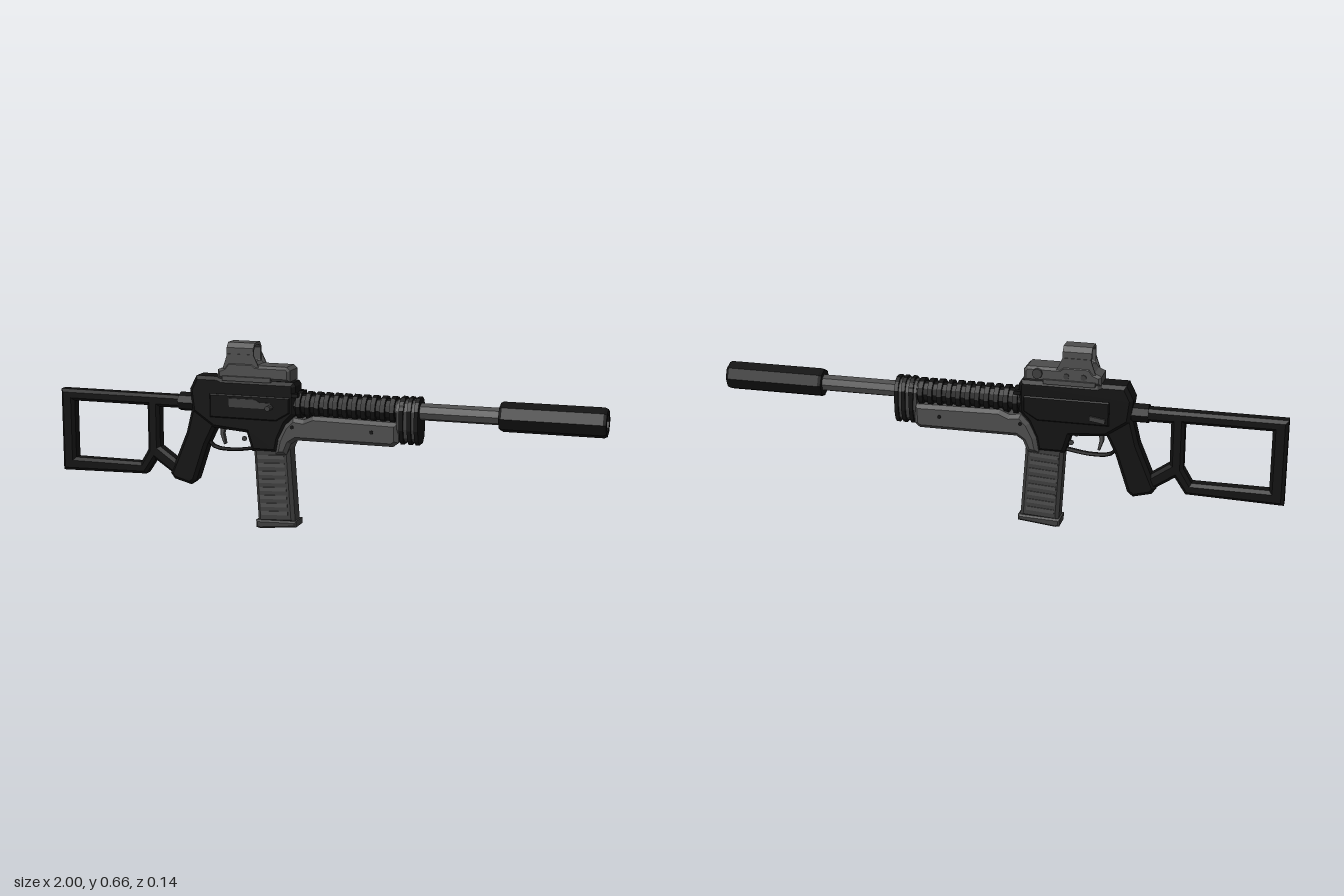
import * as THREE from 'three';

const mat = (color, extra = {}) => new THREE.MeshStandardMaterial({ color, flatShading: true, ...extra });

export function createModel() {
  const root = new THREE.Group();
  const body = new THREE.Group();
  body.name = 'body';
  body.position.z = -0.0125;
  root.add(body);

  const black = mat(0x111111), grey = mat(0x4c4c4c), dark = mat(0x3c3c3c);
  const glass = mat(0xaaaaaa, { side: THREE.DoubleSide });

  const add = (name, geo, material, x = 0, y = 0, z = 0) => {
    const m = new THREE.Mesh(geo, material);
    m.name = name;
    m.position.set(x, y, z);
    body.add(m);
    return m;
  };
  const toShape = (pts, holes = []) => {
    const s = new THREE.Shape(pts.map(p => new THREE.Vector2(...p)));
    holes.forEach(h => s.holes.push(new THREE.Path(h.map(p => new THREE.Vector2(...p)))));
    return s;
  };
  const extrude = (shape, depth, bevel) => new THREE.ExtrudeGeometry(shape, {
    depth: depth - 2 * bevel, bevelEnabled: bevel > 0, bevelThickness: bevel,
    bevelSize: bevel, bevelOffset: -bevel, bevelSegments: 1, curveSegments: 6,
  }).translate(0, 0, bevel - depth / 2);
  // side outline, centred across the width
  const plate = (name, pts, half, bevel, material, holes) =>
    add(name, extrude(toShape(pts, holes), half * 2, bevel), material);
  // cross-section (z, y) swept along x
  const section = (name, pts, x0, x1, material, bevel = 0, holes) =>
    add(name, extrude(toShape(pts, holes), x1 - x0, bevel).rotateY(Math.PI / 2), material, (x0 + x1) / 2);
  const box = (name, w, h, d, x, y, z, material) => add(name, new THREE.BoxGeometry(w, h, d), material, x, y, z);
  const rod = (name, r, len, x, y, z, material, axis = 'x', sides = 8) => {
    const g = new THREE.CylinderGeometry(r, r, len, sides);
    axis === 'x' ? g.rotateZ(-Math.PI / 2) : g.rotateX(Math.PI / 2);
    return add(name, g, material, x, y, z);
  };
  const mirrored = pts => [...pts, ...pts.slice().reverse().map(([z, y]) => [-z, y])];

  // barrel and hollow muzzle tube
  rod('barrel', 0.03, 0.76, 0.53, 0.452, 0, grey);
  const tube = [[0.028, 0.64], [0.047, 0.64], [0.052, 0.65], [0.052, 0.99], [0.047, 1],
    [0.03, 1], [0.03, 0.64]].map(p => new THREE.Vector2(...p));
  add('muzzleTube', new THREE.LatheGeometry(tube, 8).rotateZ(-Math.PI / 2), black, 0, 0.452);

  // ribbed upper handguard
  rod('upperHandguard', 0.039, 0.42, 0.12, 0.452, 0, black, 'x', 12);
  for (let i = 0; i < 12; i++) rod('handguardRib', 0.05, 0.017, -0.07 + i * 0.034, 0.451, 0, black, 'x', 12);

  // tall end bands
  const band = mirrored([[0.022, 0.338], [0.04, 0.355], [0.05, 0.39], [0.05, 0.46], [0.036, 0.488], [0.017, 0.501]]);
  section('handguardEnd', band.map(([z, y]) => [z * 0.86, 0.42 + (y - 0.42) * 0.9]), 0.285, 0.355, dark);
  for (const x of [0.297, 0.325, 0.35]) section('endBand', band, x, x + 0.014, black);

  // lower handguard sweeping down to the magazine
  plate('lowerHandguard', [[-0.155, 0.275], [-0.115, 0.275], [-0.098, 0.315], [-0.075, 0.33], [0.275, 0.33],
    [0.293, 0.345], [0.293, 0.415], [-0.015, 0.42], [-0.05, 0.405], [-0.09, 0.41], [-0.12, 0.38], [-0.145, 0.33]],
    0.051, 0.013, grey);
  for (const s of [-1, 1]) {
    for (const x of [-0.09, 0.2]) rod('handguardPin', 0.007, 0.004, x, 0.378, s * 0.051, black, 'z');
  }

  // receiver
  plate('receiver', [[-0.455, 0.54], [-0.37, 0.54], [-0.355, 0.533], [-0.09, 0.533], [-0.082, 0.52], [-0.082, 0.42],
    [-0.115, 0.385], [-0.14, 0.33], [-0.15, 0.28], [-0.245, 0.28], [-0.265, 0.345], [-0.39, 0.355],
    [-0.47, 0.41], [-0.48, 0.49]], 0.044, 0.012, black);
  for (const s of [-1, 1]) {
    plate('sidePanel', [[-0.4, 0.48], [-0.1, 0.48], [-0.1, 0.425], [-0.15, 0.395], [-0.4, 0.395]],
      0.005, 0.004, black).position.z = s * 0.044;
    box('frontSightLug', 0.024, 0.013, 0.02, -0.08, 0.49, s * 0.042, black);
    rod('receiverPin', 0.009, 0.006, -0.27, 0.325, s * 0.044, dark, 'z');
  }
  plate('ejectionPort', [[-0.325, 0.437], [-0.2, 0.437], [-0.17, 0.442], [-0.17, 0.458], [-0.21, 0.458],
    [-0.225, 0.468], [-0.325, 0.468]], 0.003, 0, dark).position.z = 0.049;
  rod('chargingHandle', 0.01, 0.04, -0.17, 0.444, 0.062, dark, 'z');
  box('selectorLever', 0.055, 0.016, 0.012, -0.36, 0.417, -0.051, dark).rotation.z = 0.15;

  // pistol grip
  plate('grip', [[-0.475, 0.43], [-0.5, 0.33], [-0.565, 0.175], [-0.55, 0.155], [-0.485, 0.138], [-0.465, 0.155],
    [-0.42, 0.29], [-0.385, 0.36], [-0.39, 0.43]], 0.034, 0.012, black);

  // trigger and guard
  const guard = new THREE.CatmullRomCurve3([[-0.43, 0.31], [-0.4, 0.28], [-0.33, 0.273], [-0.24, 0.285]]
    .map(([x, y]) => new THREE.Vector3(x, y, 0)));
  add('triggerGuard', new THREE.TubeGeometry(guard, 10, 0.006, 6).scale(1, 1, 2.5), black);
  plate('trigger', [[-0.375, 0.36], [-0.355, 0.36], [-0.362, 0.33], [-0.355, 0.293], [-0.363, 0.29], [-0.376, 0.325]],
    0.009, 0.002, grey);

  // skeleton stock
  plate('stock', [[-1, 0.155], [-0.665, 0.163], [-0.627, 0.22], [-0.545, 0.165], [-0.525, 0.21], [-0.608, 0.268],
    [-0.608, 0.415], [-0.46, 0.415], [-0.46, 0.46], [-1, 0.46]], 0.027, 0.011, black,
    [[[-0.948, 0.205], [-0.948, 0.418], [-0.655, 0.418], [-0.655, 0.255], [-0.685, 0.205]]]);
  rod('stockHinge', 0.034, 0.08, -0.49, 0.438, 0, black);

  // magazine with raised side ribs
  plate('magazine', [[-0.245, 0.36], [-0.225, 0.02], [-0.087, 0.028], [-0.108, 0.33], [-0.13, 0.36]],
    0.036, 0.012, dark);
  plate('magazineBase', [[-0.232, 0.03], [-0.23, 0.003], [-0.215, 0], [-0.08, 0.014], [-0.081, 0.035]],
    0.04, 0.006, dark);
  for (let i = 0; i < 8; i++) {
    const y = 0.06 + i * 0.029;
    const x = -0.157 - y * 0.065;
    for (const s of [-1, 1]) box('magazineRib', 0.1, 0.014, 0.006, x, y, s * 0.036, grey).rotation.z = 0.06;
  }

  // optic: rail, stepped base, hollow hood, lens
  section('opticRail', mirrored([[0.051, 0.53], [0.051, 0.546], [0.04, 0.55]]), -0.35, -0.17, grey);
  plate('opticBase', [[-0.37, 0.535], [-0.1, 0.535], [-0.1, 0.575], [-0.112, 0.587], [-0.225, 0.587],
    [-0.238, 0.597], [-0.33, 0.597], [-0.345, 0.577], [-0.37, 0.567]], 0.047, 0.009, grey);
  const hood = mirrored([[0.041, 0.58], [0.041, 0.647], [0.026, 0.664]]);
  const opening = mirrored([[0.024, 0.588], [0.032, 0.6], [0.032, 0.642], [0.022, 0.655]]);
  section('opticHood', hood, -0.335, -0.235, grey, 0, [opening]);
  section('opticLens', opening, -0.288, -0.284, glass);
  for (const s of [-1, 1]) {
    plate('hoodGusset', [[-0.35, 0.572], [-0.21, 0.572], [-0.235, 0.625], [-0.332, 0.625]], 0.003, 0, grey)
      .position.z = s * 0.041;
  }
  rod('opticKnob', 0.018, 0.012, -0.15, 0.566, -0.0515, dark, 'z');
  for (const x of [-0.25, -0.31]) rod('opticScrew', 0.01, 0.006, x, 0.562, -0.048, dark, 'z');

  return root;
}
